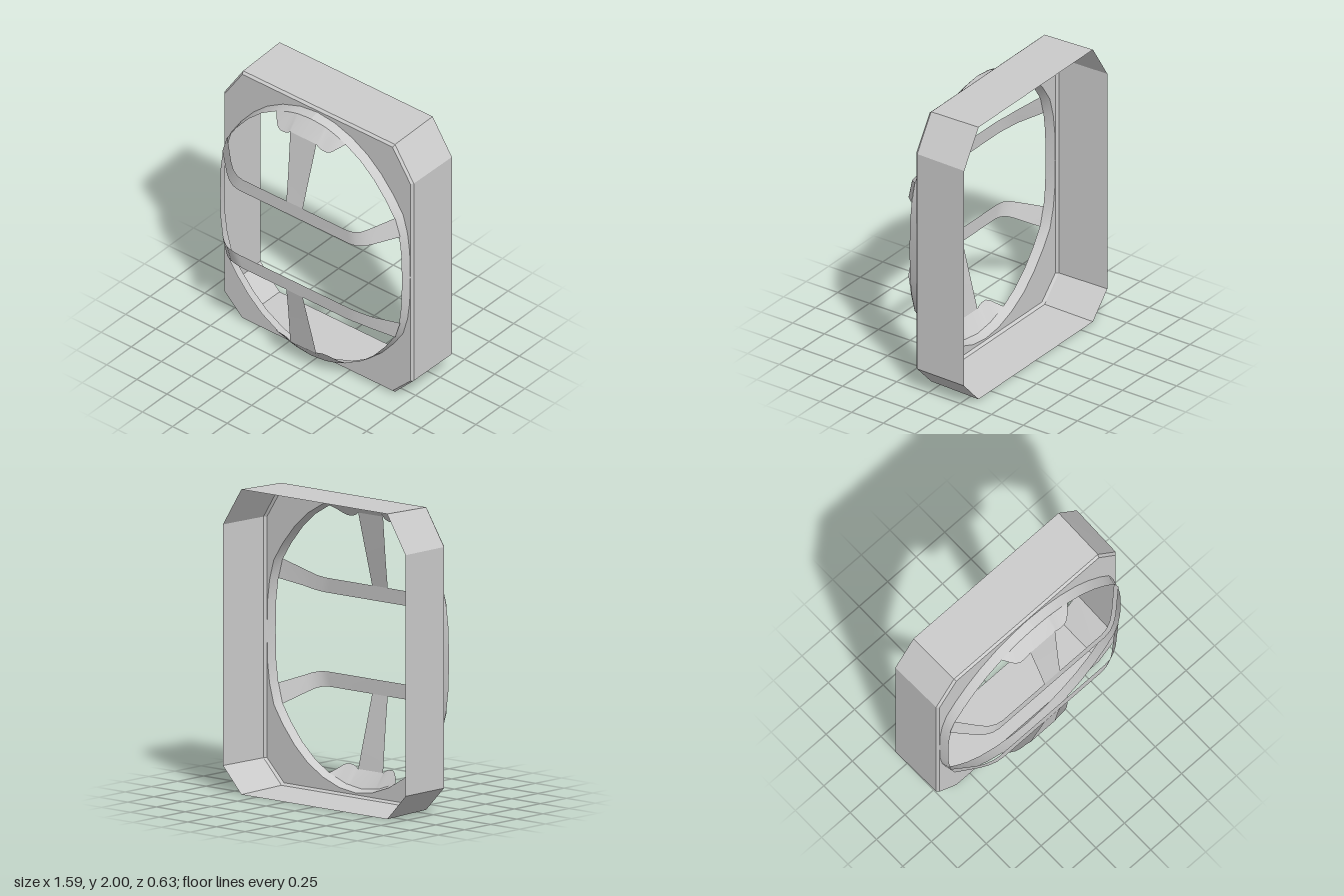
import * as THREE from 'three';

const smooth = new THREE.MeshStandardMaterial({ color: 0xcccccc, side: THREE.DoubleSide });
const flat = new THREE.MeshStandardMaterial({ color: 0xcccccc, side: THREE.DoubleSide, flatShading: true });

// Sheet surface lofted between rows of [x, y, z] points of equal length
function sheet(name, rows, material = smooth) {
  const n = rows[0].length, index = [];
  for (let r = 0; r < rows.length - 1; r++) {
    for (let i = 0; i < n - 1; i++) {
      const a = r * n + i, b = a + n;
      index.push(a, b, a + 1, b, b + 1, a + 1);
    }
  }
  const geo = new THREE.BufferGeometry();
  geo.setAttribute('position', new THREE.Float32BufferAttribute(rows.flat(2), 3));
  geo.setIndex(index);
  geo.computeVertexNormals();
  const mesh = new THREE.Mesh(geo, material);
  mesh.name = name;
  return mesh;
}

// Mirror a half row (centre to +x end) into a full row
const mirrorX = (half) => [
  ...half.slice().reverse().filter((p) => p[0] > 0).map(([x, y, z]) => [-x, y, z]),
  ...half,
];

// Eight-sided casing outline, inset by d
function casing(d, z) {
  const w = 0.795 - d, k = 0.635 - d * 0.5, lo = d, hi = 2 - d, a = 0.17, b = 1.75;
  const pts = [[k, lo], [w, a], [w, b], [k, hi], [-k, hi], [-w, b], [-w, a], [-k, lo], [k, lo]];
  return pts.map(([x, y]) => [x, y, z]);
}

// Rounded opening with nearly straight sides; one quadrant about (0, 1)
const QUAD = [[0, 0.948], [0.14, 0.93], [0.28, 0.88], [0.41, 0.803], [0.52, 0.705],
  [0.62, 0.585], [0.697, 0.467], [0.733, 0.335], [0.75, 0.2], [0.755, 0]];
function opening(grow, z) {
  const sx = 1 + grow / 0.755, sy = 1 + grow / 0.948;
  const q = QUAD.map(([x, y]) => [x * sx, y * sy]);
  const right = [...q, ...q.slice(0, -1).reverse().map(([x, y]) => [x, -y])];
  const left = right.slice(0, -1).reverse().map(([x, y]) => [-x, y]);
  return [...right, ...left].map(([x, y]) => [x, 1 + y, z]);
}

// Crossbar, stem and tab for the upper half
function bracket() {
  const g = new THREE.Group();

  // Crossbar with ends swept back to the collar
  const top = mirrorX([[0, 1.355, 0.313], [0.43, 1.355, 0.313], [0.48, 1.358, 0.306],
    [0.53, 1.371, 0.285], [0.575, 1.397, 0.253], [0.697, 1.477, 0.144]]);
  const bottom = mirrorX([[0, 1.258, 0.315], [0.46, 1.258, 0.315], [0.515, 1.262, 0.307],
    [0.565, 1.274, 0.286], [0.61, 1.293, 0.256], [0.738, 1.345, 0.142]]);
  g.add(sheet('crossbar', [top, bottom]));

  // Tapered stem, flaring slightly near the tab
  const stem = [[0.108, 1.84, 0.224], [0.098, 1.72, 0.245], [0.082, 1.54, 0.278], [0.068, 1.355, 0.313]];
  g.add(sheet('stem', [stem, stem.map(([x, y, z]) => [-x, y, z])]));

  // Tab with scalloped lower edge, rooted on the collar
  const lower = [[0, 1.84, 0.224], [0.108, 1.84, 0.224], [0.125, 1.825, 0.224], [0.155, 1.814, 0.224],
    [0.195, 1.812, 0.222], [0.225, 1.824, 0.21], [0.255, 1.85, 0.182], [0.287, 1.877, 0.146]];
  const root = lower.map(([x]) => [x, 1 + 0.948 * (1 - 0.83 * (x / 0.948) ** 2), 0.144]);
  g.add(sheet('tab', [mirrorX(root), mirrorX(lower)]));
  return g;
}

export function createModel() {
  const model = new THREE.Group();
  model.name = 'frame';

  // Open-backed casing with a narrow chamfer at the front
  model.add(sheet('casingWall', [casing(0, -0.315), casing(0.009, 0.063)], flat));
  model.add(sheet('casingChamfer', [casing(0.009, 0.063), casing(0.024, 0.08)], flat));

  // Face plate with the rounded opening
  const toV2 = (row) => row.slice(0, -1).map(([x, y]) => new THREE.Vector2(x, y));
  const shape = new THREE.Shape(toV2(casing(0.024, 0)));
  shape.holes.push(new THREE.Path(toV2(opening(0.016, 0))));
  const plate = new THREE.Mesh(new THREE.ShapeGeometry(shape), flat);
  plate.name = 'facePlate';
  plate.position.z = 0.08;
  model.add(plate);

  // Collar standing forward from the opening
  model.add(sheet('collar', [opening(0.016, 0.08), opening(0, 0.145)]));

  // Upper bracket and its mirror below
  const upper = bracket();
  upper.name = 'upperBracket';
  const lower = bracket();
  lower.name = 'lowerBracket';
  lower.scale.y = -1;
  lower.position.y = 2;
  model.add(upper, lower);

  return model;
}
